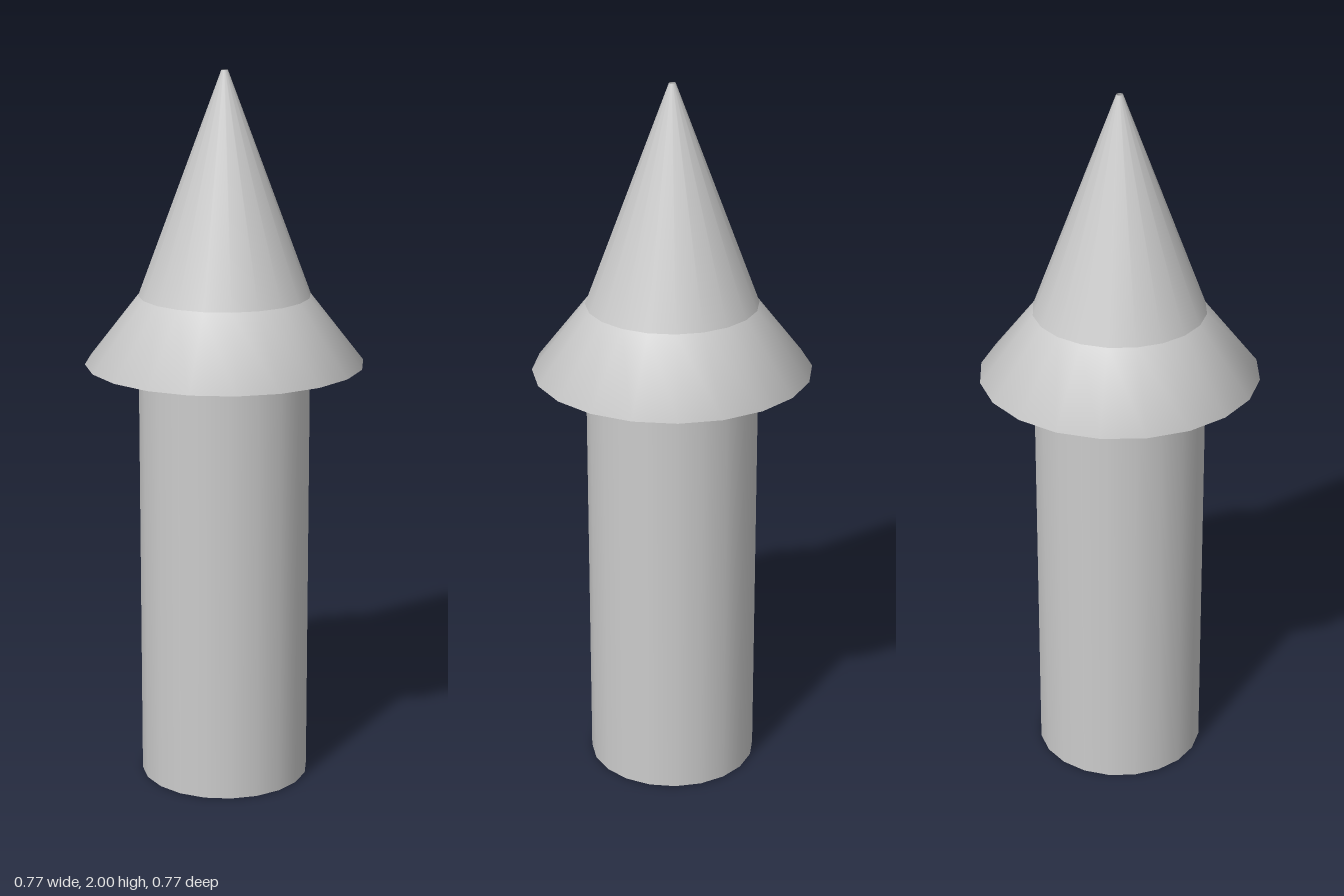
import * as THREE from 'three';

const SIDES = 20;

// Turned open surface from [radius, height] points
function turned(name, profile, material) {
  const points = profile.map(([r, y]) => new THREE.Vector2(r, y));
  const mesh = new THREE.Mesh(new THREE.LatheGeometry(points, SIDES), material);
  mesh.name = name;
  return mesh;
}

export function createModel() {
  const group = new THREE.Group();
  group.name = 'pointedPost';
  const grey = new THREE.MeshStandardMaterial({ color: 0xcccccc, side: THREE.DoubleSide });

  // Hollow shaft, open at the bottom
  group.add(turned('shaft', [[0.237, 0], [0.237, 1.39]], grey));

  // Flared skirt: recessed underside, thick rim, sloping outer face
  group.add(turned('skirt', [[0.237, 1.29], [0.3, 1.195], [0.385, 1.2], [0.237, 1.39]], grey));

  // Conical point with a tiny opening at the tip
  group.add(turned('point', [[0.237, 1.39], [0.009, 2]], grey));

  return group;
}
